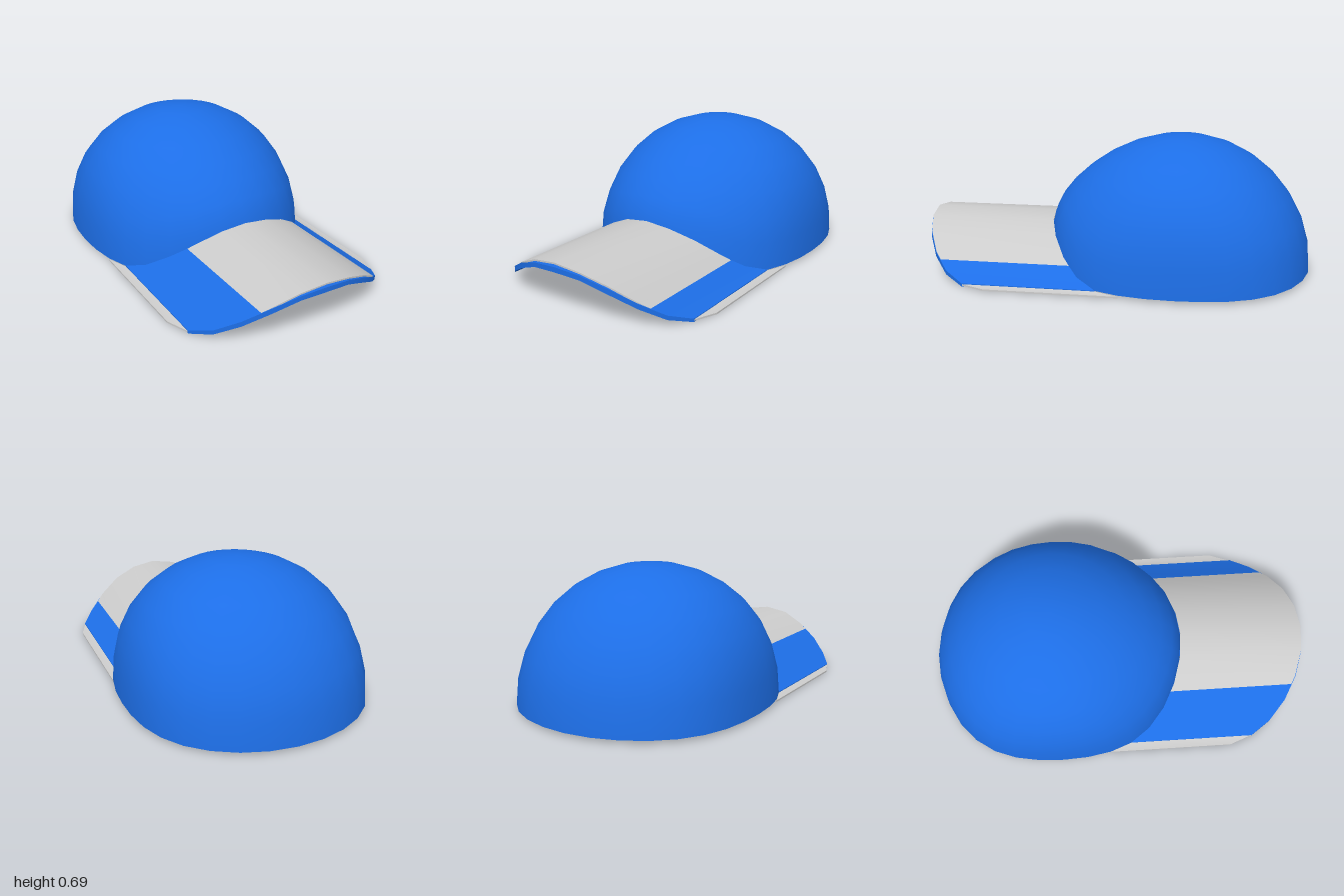
import * as THREE from 'three';
import { mergeVertices, mergeGeometries } from 'three/addons/utils/BufferGeometryUtils.js';

const SEG = 32, STEP = Math.PI * 2 / SEG;
const R = 0.67, CZ = -0.33, BASE = 0.015, REACH = 0.66;

// brim heights by column, from the middle outward
const TOP = [0.235, 0.222, 0.178, 0.115, 0.053, 0.016];
const BOTTOM = [0.21, 0.2, 0.152, 0.09, 0.032, 0];
const SHEET_LEFT = [0.255, 0.236, 0.19, 0.12, 0.046, 0.012, 0.009];
const SHEET_RIGHT = [0.255, 0.236, 0.181, 0.109, 0.046, 0.012, 0.009];

// sphere squashed at its two sides
const squash = nx => R * nx - 0.07 * nx ** 5;
const ringX = i => squash(Math.sin(i * STEP));
const ringZ = i => CZ + R * Math.cos(i * STEP);

// smooth strip of quads between two rows of points
function strip(a, b) {
  const geo = new THREE.BufferGeometry().setFromPoints([...a, ...b]);
  const index = [], n = a.length;
  for (let i = 0; i < n - 1; i++) index.push(i, n + i, i + 1, i + 1, n + i, n + i + 1);
  geo.setIndex(index);
  geo.computeVertexNormals();
  return geo;
}

// arched slab from the crown's rim forward: top, front, underside, back, two ends
function slab(cols, top, bottom, reach) {
  const row = (y, dz) => {
    const pts = [];
    for (let i = -cols; i <= cols; i++) pts.push(new THREE.Vector3(ringX(i), y(i), ringZ(i) + dz));
    return pts;
  };
  const bt = row(top, 0), ft = row(top, reach), fb = row(bottom, reach), bb = row(bottom, 0);
  const e = 2 * cols;
  return mergeGeometries([
    strip(bt, ft), strip(ft, fb), strip(fb, bb), strip(bb, bt),
    strip([bt[0], ft[0]], [bb[0], fb[0]]),
    strip([ft[e], bt[e]], [fb[e], bb[e]]),
  ]);
}

// open half dome whose front rim is lifted to follow the brim
function crownGeometry() {
  let geo = new THREE.SphereGeometry(1, SEG, SEG / 4, 0, Math.PI * 2, 0, Math.PI / 2);
  const p = geo.attributes.position;
  for (let k = 0; k < p.count; k++) {
    const x = p.getX(k), y = p.getY(k), z = p.getZ(k);
    const col = Math.round(Math.abs(Math.atan2(x, z)) / STEP);
    const rim = Math.max(0, (TOP[col] ?? 0) - 0.01 - BASE);
    const lift = rim * Math.max(0, 1 - y) ** 1.7;
    p.setXYZ(k, squash(x), BASE + y * R + lift, CZ + z * R);
  }
  geo.deleteAttribute('uv');
  geo.deleteAttribute('normal');
  geo = mergeVertices(geo, 1e-5);
  geo.computeVertexNormals();
  return geo;
}

export function createModel() {
  const group = new THREE.Group();
  const blue = new THREE.MeshStandardMaterial({ color: 0x1d6ee6, side: THREE.DoubleSide });
  const grey = new THREE.MeshStandardMaterial({ color: 0xcccccc, side: THREE.DoubleSide });
  const add = (name, geo, mat) => {
    const mesh = new THREE.Mesh(geo, mat);
    mesh.name = name;
    group.add(mesh);
  };

  add('crown', crownGeometry(), blue);
  add('brim', slab(5, i => TOP[Math.abs(i)], i => BOTTOM[Math.abs(i)], REACH), blue);

  // thin sheet lying over the brim, a little wider than it
  const sheetY = i => (i > 0 ? SHEET_LEFT : SHEET_RIGHT)[Math.abs(i)];
  add('brimSheet', slab(6, sheetY, i => sheetY(i) - 0.008, REACH - 0.003), grey);
  return group;
}
